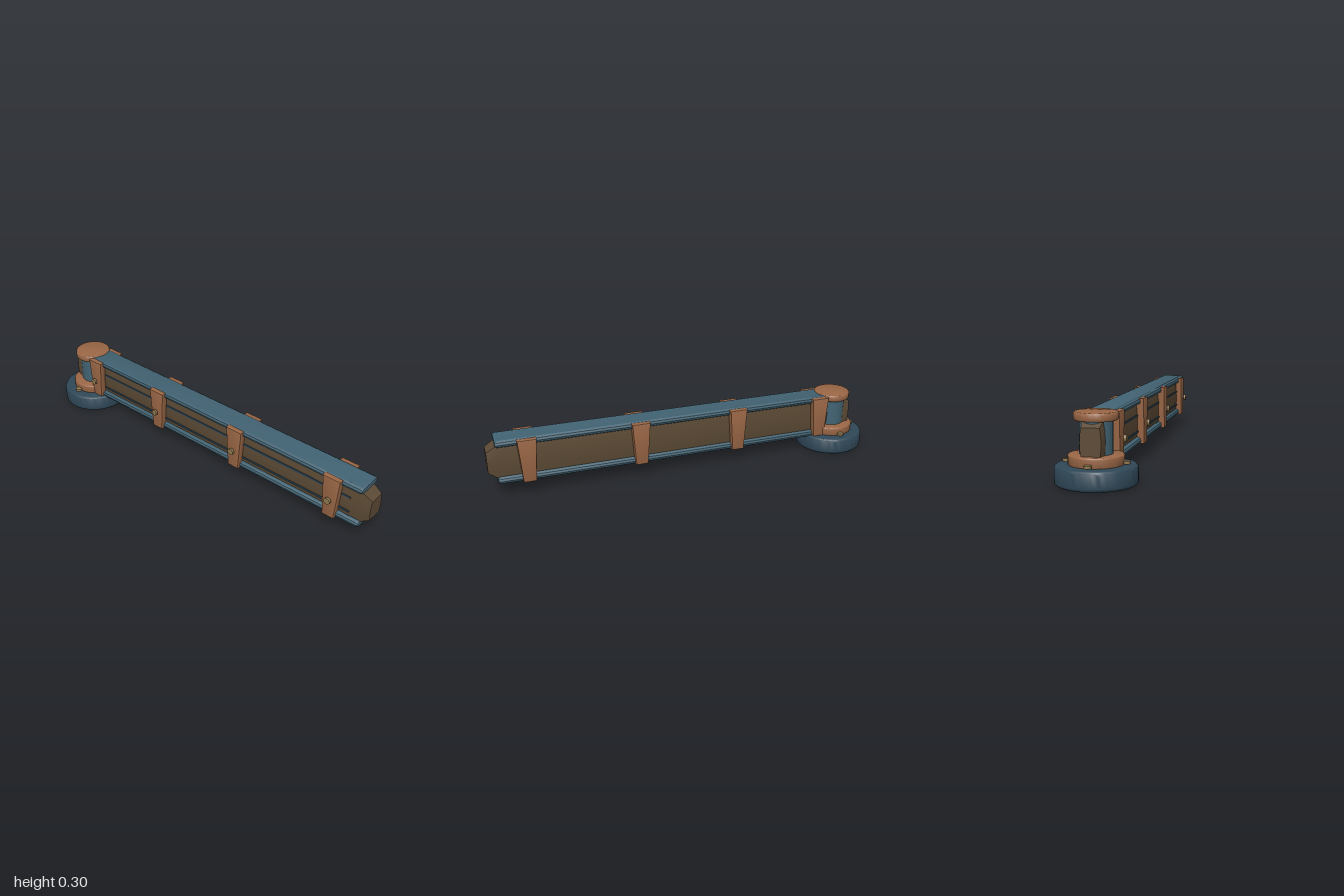
import * as THREE from 'three';
import { toCreasedNormals } from 'three/addons/utils/BufferGeometryUtils.js';

const mat = (color) => new THREE.MeshStandardMaterial({ color });

// Lofts a (z, y) section along x through stations [x, scaleY, scaleZ].
function loft(points, stations) {
  const shape = new THREE.Shape(points.map(([a, b]) => new THREE.Vector2(a, b)));
  const steps = stations.length - 1;
  const geo = new THREE.ExtrudeGeometry(shape, { depth: steps, steps, bevelEnabled: false });
  const p = geo.attributes.position;
  for (let i = 0; i < p.count; i++) {
    const [x, sy, sz] = stations[Math.round(p.getZ(i))];
    p.setXYZ(i, p.getX(i) * sz, p.getY(i) * sy, x);
  }
  geo.rotateY(Math.PI / 2);
  return toCreasedNormals(geo, 0.5);
}

// Solid disc with rounded rims, axis along y.
function disc(radius, y0, y1, r, segments = 48) {
  const pts = [new THREE.Vector2(0, y0)];
  for (let i = 0; i <= 4; i++) {
    const a = (i / 4) * Math.PI / 2;
    pts.push(new THREE.Vector2(radius - r + r * Math.sin(a), y0 + r - r * Math.cos(a)));
  }
  for (let i = 0; i <= 4; i++) {
    const a = (i / 4) * Math.PI / 2;
    pts.push(new THREE.Vector2(radius - r + r * Math.cos(a), y1 - r + r * Math.sin(a)));
  }
  pts.push(new THREE.Vector2(0, y1));
  return toCreasedNormals(new THREE.LatheGeometry(pts, segments), 0.6);
}

export function createModel() {
  const group = new THREE.Group();
  const navy = mat(0x2f4757), blue = mat(0x426373), copper = mat(0x996645);
  const wood = mat(0x5c4a35), brass = mat(0x8f7850);
  const add = (name, geo, material, x = 0, y = 0, z = 0) => {
    const mesh = new THREE.Mesh(geo, material);
    mesh.name = name;
    mesh.position.set(x, y, z);
    group.add(mesh);
    return mesh;
  };
  const px = -0.827;

  // Pivot: base, collar, post and cap
  add('base', disc(0.173, 0, 0.084, 0.014, 64), navy, px);
  add('collar', disc(0.117, 0.08, 0.127, 0.008), copper, px);
  add('post', new THREE.CylinderGeometry(0.07, 0.07, 0.16, 32), blue, px, 0.195);
  add('cap', disc(0.093, 0.265, 0.301, 0.009), copper, px);

  // Bolts around the collar
  for (let i = 0; i < 4; i++) {
    const a = (i * Math.PI) / 2;
    add('baseBolt', new THREE.CylinderGeometry(0.016, 0.016, 0.012, 16), brass,
      px + 0.128 * Math.cos(a), 0.095, 0.128 * Math.sin(a));
  }

  // Beam with slightly bulging sides and tapered ends
  const section = [
    [-0.046, -0.084], [0.046, -0.084], [0.051, -0.04], [0.052, 0],
    [0.050, 0.045], [0.045, 0.084], [-0.045, 0.084], [-0.050, 0.045],
    [-0.052, 0], [-0.051, -0.04],
  ];
  add('beam', loft(section, [
    [-0.915, 0.72, 0.86], [-0.88, 1, 1], [0.952, 1, 1], [1, 0.62, 0.88],
  ]), wood, 0, 0.183);

  // Rounded rails above and below the beam
  const rail = [
    [-0.067, 0], [-0.063, -0.011], [-0.052, -0.0175], [0.052, -0.0175], [0.063, -0.011],
    [0.067, 0], [0.063, 0.011], [0.052, 0.0175], [-0.052, 0.0175], [-0.063, 0.011],
  ];
  for (const [name, y] of [['topRail', 0.279], ['bottomRail', 0.09]]) {
    add(name, loft(rail, [
      [-0.78, 0.7, 0.95], [-0.77, 1, 1], [0.947, 1, 1], [0.957, 0.7, 0.95],
    ]), blue, 0, y);
  }

  // Thin inlaid strips on the front face
  for (const y of [0.133, 0.212]) {
    add('frontStrip', new THREE.BoxGeometry(1.58, 0.009, 0.01), navy, 0.11, y, 0.05);
  }

  // Tapered side clamps, with a bolt on each front one
  const plate = new THREE.Shape();
  plate.moveTo(-0.026, -0.104);
  plate.lineTo(0.026, -0.104);
  plate.lineTo(0.041, 0.104);
  plate.lineTo(-0.041, 0.104);
  plate.closePath();
  const clamp = toCreasedNormals(new THREE.ExtrudeGeometry(plate, {
    depth: 0.026, bevelThickness: 0.005, bevelSize: 0.005, bevelSegments: 2,
  }), 0.5);
  for (const x of [-0.722, -0.256, 0.258, 0.812]) {
    add('frontClamp', clamp, copper, x, 0.184, 0.052);
    add('backClamp', clamp, copper, x, 0.184, -0.052).rotation.y = Math.PI;
    const bolt = new THREE.CylinderGeometry(0.016, 0.016, 0.012, 16).rotateX(Math.PI / 2);
    add('clampBolt', bolt, brass, x, 0.175, 0.098);
  }
  return group;
}
